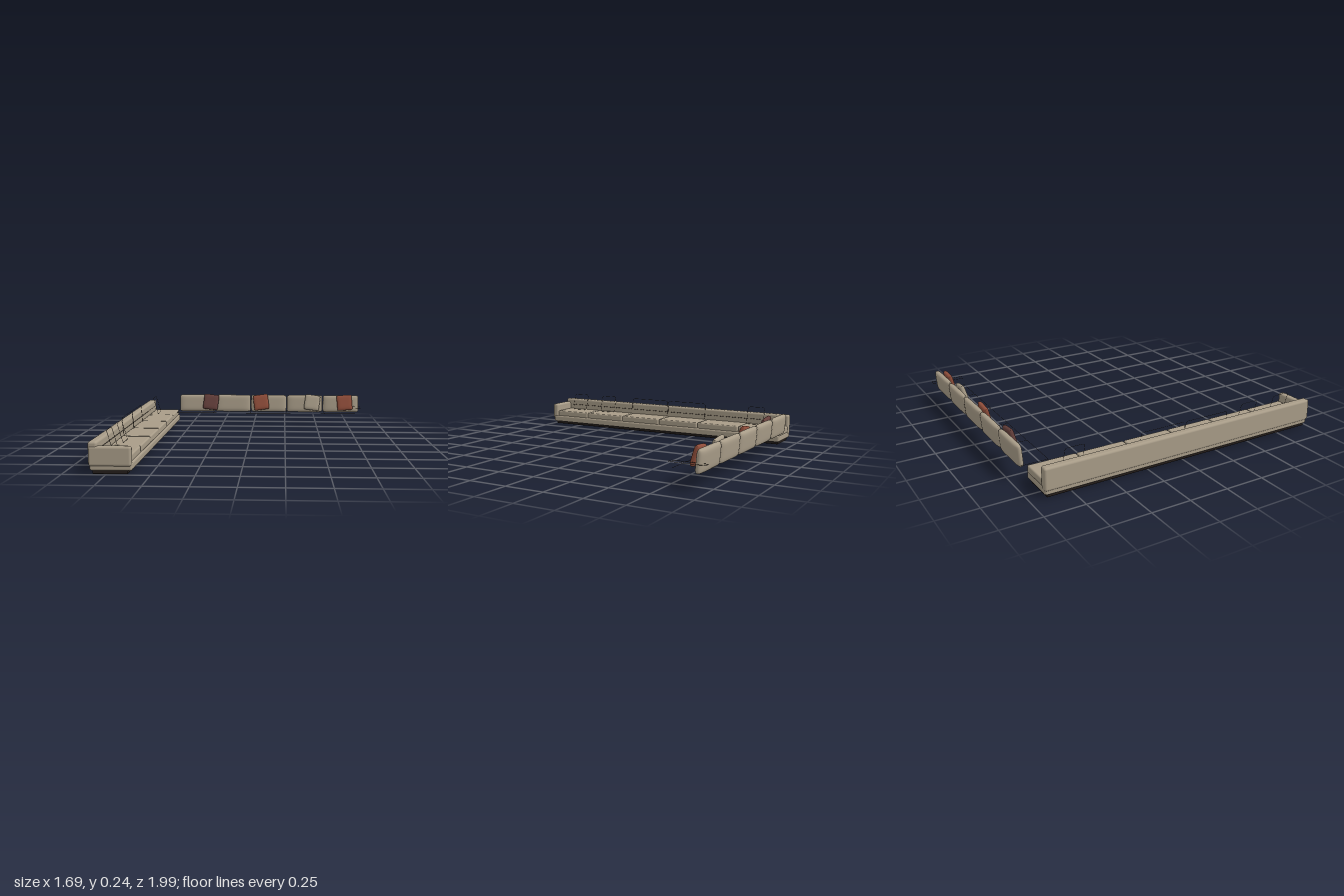
import * as THREE from 'three';
import { RoundedBoxGeometry } from 'three/addons/geometries/RoundedBoxGeometry.js';

export function createModel() {
  const model = new THREE.Group();
  model.name = 'cornerSofa';

  const material = (name, color) => {
    const m = new THREE.MeshStandardMaterial({ color });
    m.name = name;
    return m;
  };
  const linen = material('linen', 0xa89c88);
  const maroon = material('maroon', 0x643f3b);
  const rust = material('rust', 0x8f4d3a);
  const piping = material('piping', 0x2e2621);
  const plinth = material('plinth', 0x241d1a);

  const add = (name, geometry, mat, parent = model) => {
    const mesh = new THREE.Mesh(geometry, mat);
    mesh.name = name;
    parent.add(mesh);
    return mesh;
  };

  // Rounded block given by its extents on each axis
  const block = (name, [x0, x1], [y0, y1], [z0, z1], radius, mat) => {
    const g = new RoundedBoxGeometry(x1 - x0, y1 - y0, z1 - z0, 4, radius);
    add(name, g, mat).position.set((x0 + x1) / 2, (y0 + y1) / 2, (z0 + z1) / 2);
  };

  // Soft cushion: flat in the middle, thinning to a narrow edge, rounded corners
  const cushionGeometry = (w, h, t) => {
    const g = new THREE.BoxGeometry(2, 2, 2, 20, 16, 1);
    const p = g.attributes.position;
    for (let i = 0; i < p.count; i++) {
      const u = Math.sin(p.getX(i) * Math.PI / 2);
      const v = Math.sin(p.getY(i) * Math.PI / 2);
      const pull = 1 - 0.05 * Math.pow(Math.abs(u * v), 8);
      const puff = 0.14 + 0.86 * Math.sqrt(Math.max(0, (1 - Math.pow(u, 6)) * (1 - Math.pow(v, 6))));
      p.setXYZ(i, u * pull * w / 2, v * pull * h / 2, p.getZ(i) * puff * t / 2);
    }
    g.computeVertexNormals();
    return g;
  };

  // Thin piping along a path
  const cord = (name, points, closed = false, parent = model) => {
    const path = new THREE.CatmullRomCurve3(points.map(q => new THREE.Vector3(...q)), closed, 'catmullrom', 0.1);
    return add(name, new THREE.TubeGeometry(path, points.length * 6, 0.0012, 4, closed), piping, parent);
  };
  const outline = (w, h, c = 0.012) => {
    const a = w / 2, b = h / 2;
    return [[-a + c, -b, 0], [a - c, -b, 0], [a, -b + c, 0], [a, b - c, 0],
      [a - c, b, 0], [-a + c, b, 0], [-a, b - c, 0], [-a, -b + c, 0]];
  };

  // Long side: plinth, frame, back rest and arm
  block('plinth', [-0.83, -0.63], [0, 0.024], [-0.9, 0.98], 0.004, plinth);
  block('frame', [-0.845, -0.603], [0.02, 0.067], [-0.915, 0.988], 0.012, linen);
  block('backRest', [-0.85, -0.797], [0.045, 0.186], [-0.918, 0.995], 0.014, linen);
  block('arm', [-0.848, -0.606], [0.047, 0.16], [0.955, 1], 0.014, linen);
  cord('backRestSeam', [[-0.7965, 0.14, -0.9], [-0.7965, 0.14, 0.95]]);

  // Six seat cushions
  const edges = [-0.918, -0.607, -0.287, 0.032, 0.352, 0.672, 0.955];
  for (let i = 0; i < 6; i++) {
    block('seatCushion', [-0.8, -0.613], [0.06, 0.107], [edges[i] + 0.002, edges[i + 1] - 0.002], 0.01, linen);
  }

  // Piping loops standing above the long seat
  const sideLoop = (name, z, w, h, x, y, lean) => {
    const loop = cord(name, outline(w, h), true);
    loop.position.set(x, y, z);
    loop.rotation.set(0, Math.PI / 2, lean, 'ZYX');
  };
  for (const z of [0.82, 0.555, -0.69]) sideLoop('pillowPiping', z, 0.125, 0.125, -0.75, 0.172, 0.28);
  for (const z of [0.197, -0.12]) sideLoop('backPiping', z, 0.31, 0.12, -0.79, 0.165, 0.1);

  // Row of five back cushions with piped edges
  const backGeometry = cushionGeometry(0.285, 0.135, 0.046);
  for (let i = 0; i < 5; i++) {
    const cushion = new THREE.Group();
    cushion.name = 'backCushion';
    add('cushion', backGeometry, linen, cushion);
    cord('cushionPiping', outline(0.28, 0.131), true, cushion);
    cushion.position.set(-0.461 + i * 0.29, 0.158, -0.945);
    cushion.rotation.x = -0.08;
    model.add(cushion);
  }

  // Throw pillows leaning on the row
  const pillowGeometry = cushionGeometry(0.12, 0.122, 0.036);
  const pillows = [[-0.347, -0.12, maroon], [0.058, 0.14, rust], [0.468, -0.14, linen], [0.727, 0.08, rust]];
  for (const [x, roll, mat] of pillows) {
    const pillow = new THREE.Group();
    pillow.name = 'throwPillow';
    add('pillow', pillowGeometry, mat, pillow);
    cord('pillowEdge', outline(0.117, 0.119), true, pillow);
    pillow.position.set(x, 0.172, -0.897);
    pillow.rotation.set(-0.25, 0, roll);
    model.add(pillow);
  }

  // Seat and arm piping below the row
  for (let i = 0; i < 5; i++) {
    const x = -0.605 + i * 0.29;
    cord('seatPiping', [[x, 0.105, -0.95], [x, 0.105, -0.785], [x + 0.008, 0.1, -0.775]]);
  }
  cord('seatFrontPiping', [[-0.605, 0.1, -0.775], [0.8, 0.1, -0.775]]);
  const armLoop = cord('armPiping', outline(0.04, 0.22, 0.006), true);
  armLoop.rotation.x = Math.PI / 2;
  armLoop.position.set(0.822, 0.145, -0.882);

  return model;
}
